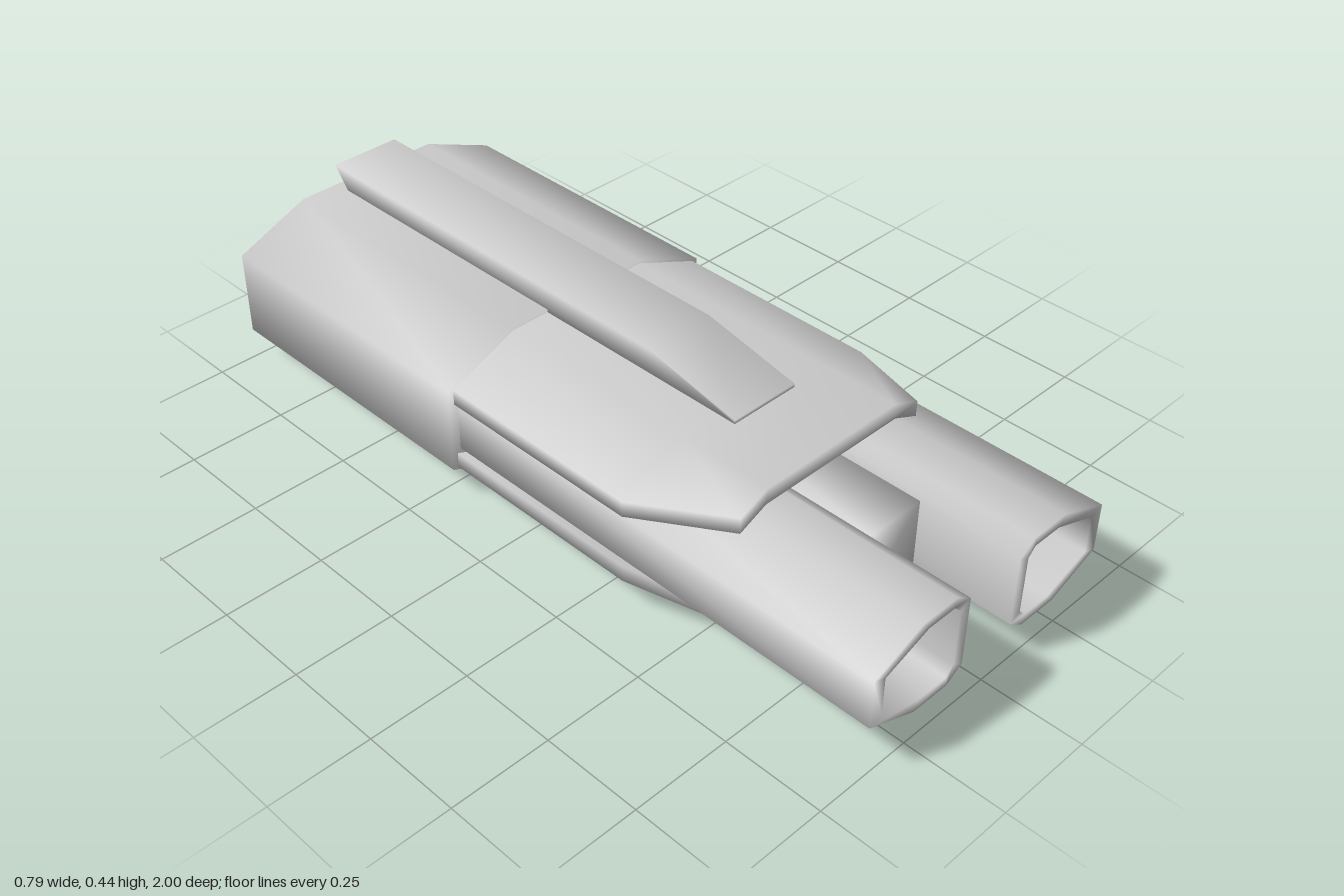
import * as THREE from 'three';

const material = new THREE.MeshStandardMaterial({ color: 0xcccccc, side: THREE.DoubleSide });

// A cross-section: counter-clockwise [x, y] points placed at depth z.
const section = (points, z) => points.map(([x, y]) => [x, y, z]);

// Skin a series of equal-length cross-sections, optionally capped, with shared smooth normals.
function loft(name, rings, capStart = true, capEnd = true) {
  const n = rings[0].length;
  const index = [];
  for (let j = 0; j < rings.length - 1; j++) {
    for (let i = 0; i < n; i++) {
      const k = (i + 1) % n;
      const a = j * n + i, b = j * n + k, c = a + n, d = b + n;
      index.push(a, b, d, a, d, c);
    }
  }
  const cap = (j, flip) => {
    const outline = rings[j].map(([x, y]) => new THREE.Vector2(x, y));
    for (const [a, b, c] of THREE.ShapeUtils.triangulateShape(outline, [])) {
      const o = j * n;
      if (flip) index.push(o + a, o + c, o + b);
      else index.push(o + a, o + b, o + c);
    }
  };
  if (capStart) cap(0, true);
  if (capEnd) cap(rings.length - 1, false);
  const geometry = new THREE.BufferGeometry();
  geometry.setAttribute('position', new THREE.Float32BufferAttribute(rings.flat(2), 3));
  geometry.setIndex(index);
  geometry.computeVertexNormals();
  const mesh = new THREE.Mesh(geometry, material);
  mesh.name = name;
  return mesh;
}

const mirrorX = (points) => points.map(([x, y]) => [-x, y]).reverse();
const mirrorY = (points) => points.map(([x, y]) => [x, 0.38 - y]).reverse();
const rect = (w, y0, y1) => [[-w, y0], [w, y0], [w, y1], [-w, y1]];

// Bent slab profile of half-width w, following the slope of the housing.
function plateProfile(w) {
  const t = 0.04, top = 0.373, edge = top - (w - 0.2) * 0.41;
  return [
    [-w, edge - t], [-0.205, top - t], [0.205, top - t], [w, edge - t],
    [w, edge], [0.2, top], [-0.2, top], [-w, edge],
  ];
}

export function createModel() {
  const model = new THREE.Group();
  model.name = 'twinBarrelUnit';

  // Rear housing: octagonal shell, closed in front and open at the back
  const housing = [
    [0.2, 0], [0.395, 0.08], [0.395, 0.3], [0.2, 0.38],
    [-0.2, 0.38], [-0.395, 0.3], [-0.395, 0.08], [-0.2, 0],
  ];
  model.add(loft('rearHousing', [section(housing, -1), section(housing, -0.21)], false, true));

  // Upper and lower cover plates, tapering in plan toward the front
  const stations = [[0.38, -0.21], [0.38, 0.33], [0.28, 0.57]];
  model.add(loft('upperPlate', stations.map(([w, z]) => section(plateProfile(w), z))));
  model.add(loft('lowerPlate', stations.map(([w, z]) => section(mirrorY(plateProfile(w)), z))));

  // Pair of hollow barrels
  const outer = [
    [0.125, 0.073], [0.23, 0.073], [0.37, 0.13], [0.37, 0.253],
    [0.23, 0.31], [0.125, 0.31], [0.08, 0.28], [0.08, 0.103],
  ];
  const bore = [
    [0.13, 0.098], [0.21, 0.098], [0.335, 0.143], [0.335, 0.24],
    [0.21, 0.286], [0.13, 0.286], [0.11, 0.265], [0.11, 0.12],
  ];
  for (const [name, side] of [['leftBarrel', (p) => p], ['rightBarrel', mirrorX]]) {
    model.add(loft(name, [
      section(side(outer), -0.21), section(side(outer), 1),
      section(side(bore), 1), section(side(bore), 0.6),
    ]));
  }

  // Bridge joining the barrels
  const bridge = rect(0.08, 0.105, 0.28);
  model.add(loft('barrelBridge', [section(bridge, -0.21), section(bridge, 0.745)]));

  // Top rail: ramped at the front, undercut at the back
  const rail = rect(0.094, 0.373, 0.435);
  const railBack = section(rail, -1).map(([x, y], i) => [x, y, i < 2 ? -0.95 : -1]);
  model.add(loft('topRail', [
    railBack, section(rail, 0.12), section(rect(0.094, 0.373, 0.382), 0.377),
  ]));

  return model;
}
